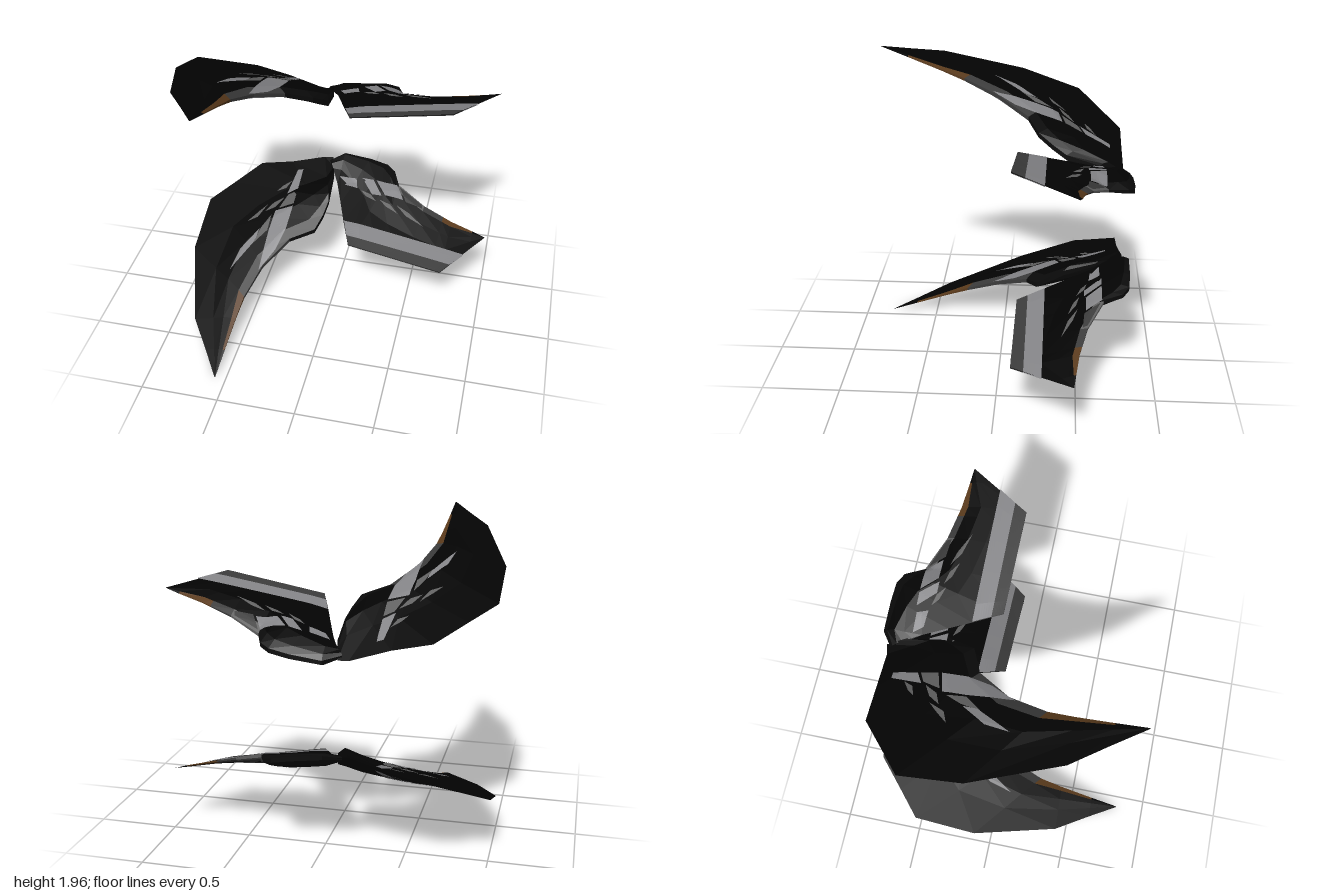
import * as THREE from 'three';

const HEIGHT = 1.98;
const paint = (name, color) => {
  const m = new THREE.MeshStandardMaterial({ color, side: THREE.DoubleSide });
  m.name = name;
  return m;
};
const black = paint('black', 0x030303);
const charcoal = paint('charcoal', 0x0a0a0a);
const darkGray = paint('dark gray', 0x3b3b3b);
const midGray = paint('mid gray', 0x606060);
const lightGray = paint('light gray', 0x848487);
const brown = paint('brown', 0x5a3a1b);

// Profile from leading edge to trailing edge: [fraction of chord, share of thickness]
const PROFILE = [[0, 0.3], [0.1, 0.8], [0.3, 1], [0.55, 0.45], [1, 0]];

// Sections: [lead x, lead z, trail x, trail z, half thickness, lead droop, trail droop, edge colour]
const forewing = {
  name: 'forewing',
  plane: (x, z) => 1.58 - 0.18 * (x + 1) + 0.357 * (z + 0.49),
  sections: [
    [-0.11, -0.62, -0.15, -0.79, 0.03, 0.04, 0.04, charcoal],
    [-0.10, -0.41, -0.21, -0.775, 0.055, 0.05, 0.06, charcoal],
    [-0.12, -0.32, -0.45, -0.77, 0.055, 0.025, 0.03, charcoal],
    [-0.16, -0.23, -0.68, -0.77, 0.05, 0, 0.022, charcoal],
    [-0.32, -0.16, -0.85, -0.62, 0.045, 0, 0.01, darkGray],
    [-0.46, 0.04, -1, -0.49, 0.04, 0, 0, darkGray],
    [-0.53, 0.27, -1, -0.10, 0.03, 0, 0, brown],
    [-0.545, 0.42, -0.83, 0.43, 0.015, 0, 0, brown],
    [-0.56, 0.64, -0.69, 0.64, 0.008, 0, 0, black],
    [-0.57, 0.82, -0.575, 0.82, 0, 0, 0, black],
  ],
  // Feather markings: four [x, z] corners each
  marks: [
    ['covertFeather', lightGray, [-0.39, -0.69], [-0.35, -0.69], [-0.35, -0.53], [-0.42, -0.49]],
    ['covertFeather', midGray, [-0.41, -0.48], [-0.35, -0.51], [-0.35, -0.40], [-0.45, -0.37]],
    ['covertPatch', lightGray, [-0.47, -0.35], [-0.35, -0.38], [-0.36, -0.22], [-0.48, -0.20]],
    ['covertPatch', lightGray, [-0.48, -0.20], [-0.36, -0.22], [-0.40, -0.07], [-0.48, -0.02]],
    ['featherStreak', midGray, [-0.55, -0.35], [-0.50, -0.42], [-0.43, -0.46], [-0.48, -0.38]],
    ['featherStreak', midGray, [-0.66, -0.28], [-0.59, -0.36], [-0.54, -0.41], [-0.59, -0.31]],
    ['featherStreak', lightGray, [-0.68, 0.09], [-0.65, -0.06], [-0.55, -0.21], [-0.56, -0.12]],
    ['featherStreak', midGray, [-0.57, -0.10], [-0.54, -0.22], [-0.49, -0.32], [-0.49, -0.20]],
    ['featherStreak', midGray, [-0.50, -0.52], [-0.47, -0.56], [-0.41, -0.60], [-0.44, -0.54]],
    ['edgePatch', lightGray, [-0.48, -0.02], [-0.40, -0.07], [-0.455, 0.03], [-0.48, 0.08]],
  ],
};
const hindwing = {
  name: 'hindwing',
  plane: (x, z) => 1.5 + 0.18 * (x - 0.1) + 0.24 * (z + 0.11),
  sections: [
    [-0.17, -0.76, -0.10, -0.64, 0.02, 0, 0, charcoal],
    [-0.07, -0.83, -0.075, -0.58, 0.04, 0.025, 0, charcoal],
    [0.12, -0.83, -0.02, -0.43, 0.045, 0.035, 0, charcoal],
    [0.24, -0.82, 0.03, -0.29, 0.045, 0.035, 0, charcoal],
    [0.30, -0.78, 0.10, -0.11, 0.04, 0.035, 0, charcoal],
    [0.35, -0.66, 0.30, -0.107, 0.028, 0.05, 0, midGray],
    [0.55, -0.56, 0.50, -0.105, 0.018, 0.035, 0, darkGray],
    [0.69, -0.525, 0.66, -0.10, 0.012, 0.025, 0, brown],
    [0.75, -0.51, 0.73, -0.10, 0.01, 0.02, 0, brown],
    [0.90, -0.491, 0.90, -0.35, 0.005, 0.01, 0, black],
    [0.99, -0.48, 0.987, -0.475, 0, 0, 0, black],
  ],
  marks: [
    ['trailingBand', lightGray, [0.034, -0.29], [0.865, -0.29], [0.785, -0.18], [0.075, -0.18]],
    ['trailingBorder', darkGray, [0.075, -0.18], [0.785, -0.18], [0.73, -0.10], [0.10, -0.11]],
    ['covertFeather', lightGray, [-0.07, -0.64], [0.05, -0.64], [0.07, -0.57], [-0.03, -0.58]],
    ['covertFeather', lightGray, [0.09, -0.65], [0.17, -0.65], [0.25, -0.54], [0.18, -0.54]],
    ['covertFeather', lightGray, [0.19, -0.65], [0.34, -0.65], [0.40, -0.55], [0.27, -0.55]],
    ['covertFeather', darkGray, [0.36, -0.64], [0.53, -0.56], [0.54, -0.53], [0.42, -0.54]],
    ['featherStreak', midGray, [0.10, -0.56], [0.17, -0.54], [0.22, -0.49], [0.14, -0.52]],
    ['featherStreak', midGray, [0.24, -0.51], [0.32, -0.49], [0.38, -0.44], [0.29, -0.47]],
    ['featherStreak', midGray, [0.36, -0.50], [0.45, -0.47], [0.57, -0.40], [0.44, -0.44]],
  ],
};

// Flat-shaded mesh from triangles of [x, y, z]; the lower pair is reflected and rewound
function addMesh(group, name, material, tris, lower) {
  const out = [];
  for (const t of tris) {
    for (const [x, y, z] of lower ? [t[0], t[2], t[1]] : t) out.push(x, lower ? HEIGHT - y : y, z);
  }
  const g = new THREE.BufferGeometry();
  g.setAttribute('position', new THREE.Float32BufferAttribute(out, 3));
  g.computeVertexNormals();
  const mesh = new THREE.Mesh(g, material);
  mesh.name = name;
  group.add(mesh);
}

function buildWing(spec, lower) {
  const group = new THREE.Group();
  group.name = spec.name;

  // Upper and lower surface heights along every section
  const rows = spec.sections.map(([lx, lz, tx, tz, thick, leadDroop, trailDroop]) => PROFILE.map(([s, h]) => {
    const x = lx + (tx - lx) * s, z = lz + (tz - lz) * s;
    const mid = spec.plane(x, z) - leadDroop * Math.max(0, 1 - s * 2.5) - trailDroop * s;
    return { x, z, top: mid + thick * h, low: mid - thick * h };
  }));
  const rings = rows.map(r => [
    ...r.map(p => [p.x, p.top, p.z]),
    ...r.slice().reverse().map(p => [p.x, p.low, p.z]),
  ]);

  // Wing skin, sorted by colour: the leading edge takes its section's paint
  const skins = new Map();
  const n = rings[0].length;
  const put = (mat, ...t) => skins.set(mat, [...(skins.get(mat) || []), ...t]);
  for (let i = 0; i < rings.length - 1; i++) {
    for (let j = 0; j < n; j++) {
      const k = (j + 1) % n, a = rings[i], b = rings[i + 1];
      const edge = j === 0 || j >= n - 2;
      put(edge ? spec.sections[i][7] : black, [a[j], a[k], b[j]], [a[k], b[k], b[j]]);
    }
  }
  // Root cap
  const root = rings[0];
  for (let j = 1; j < n - 1; j++) put(charcoal, [root[0], root[j + 1], root[j]]);
  for (const [mat, tris] of skins) addMesh(group, mat === black ? 'wingSkin' : 'leadingEdge', mat, tris, lower);

  // Surface heights anywhere on the wing
  const cells = [];
  for (let i = 0; i < rows.length - 1; i++) {
    for (let j = 0; j < PROFILE.length - 1; j++) {
      const a = rows[i], b = rows[i + 1];
      cells.push([a[j], a[j + 1], b[j]], [a[j + 1], b[j + 1], b[j]]);
    }
  }
  const heights = (x, z) => {
    for (const [a, b, c] of cells) {
      const d = (b.z - c.z) * (a.x - c.x) + (c.x - b.x) * (a.z - c.z);
      if (Math.abs(d) < 1e-7) continue;
      const u = ((b.z - c.z) * (x - c.x) + (c.x - b.x) * (z - c.z)) / d;
      const v = ((c.z - a.z) * (x - c.x) + (a.x - c.x) * (z - c.z)) / d;
      const w = 1 - u - v;
      if (Math.min(u, v, w) < -0.01) continue;
      return [u * a.top + v * b.top + w * c.top, u * a.low + v * b.low + w * c.low];
    }
    return [spec.plane(x, z), spec.plane(x, z)];
  };

  // Feather markings laid closely over both surfaces
  const N = 8, LIFT = 0.004;
  for (const [name, mat, p, q, r, s] of spec.marks) {
    for (const side of [0, 1]) {
      const at = (i, j) => {
        const u = i / N, v = j / N;
        const mix = k => (p[k] * (1 - u) + q[k] * u) * (1 - v) + (s[k] * (1 - u) + r[k] * u) * v;
        const x = mix(0), z = mix(1);
        return [x, heights(x, z)[side] + (side ? -LIFT : LIFT), z];
      };
      const tris = [];
      for (let i = 0; i < N; i++) {
        for (let j = 0; j < N; j++) {
          tris.push([at(i, j), at(i, j + 1), at(i + 1, j)], [at(i, j + 1), at(i + 1, j + 1), at(i + 1, j)]);
        }
      }
      // Wind each face away from the wing
      const faced = tris.map(([a, b, c]) => {
        const up = (b[2] - a[2]) * (c[0] - a[0]) - (b[0] - a[0]) * (c[2] - a[2]) > 0;
        return up === (side === 0) ? [a, b, c] : [a, c, b];
      });
      addMesh(group, name, mat, faced, lower);
    }
  }
  return group;
}

export function createModel() {
  const model = new THREE.Group();
  model.name = 'wings';
  for (const lower of [false, true]) {
    const pair = new THREE.Group();
    pair.name = lower ? 'lowerWingPair' : 'upperWingPair';
    pair.add(buildWing(forewing, lower), buildWing(hindwing, lower));
    model.add(pair);
  }
  return model;
}
